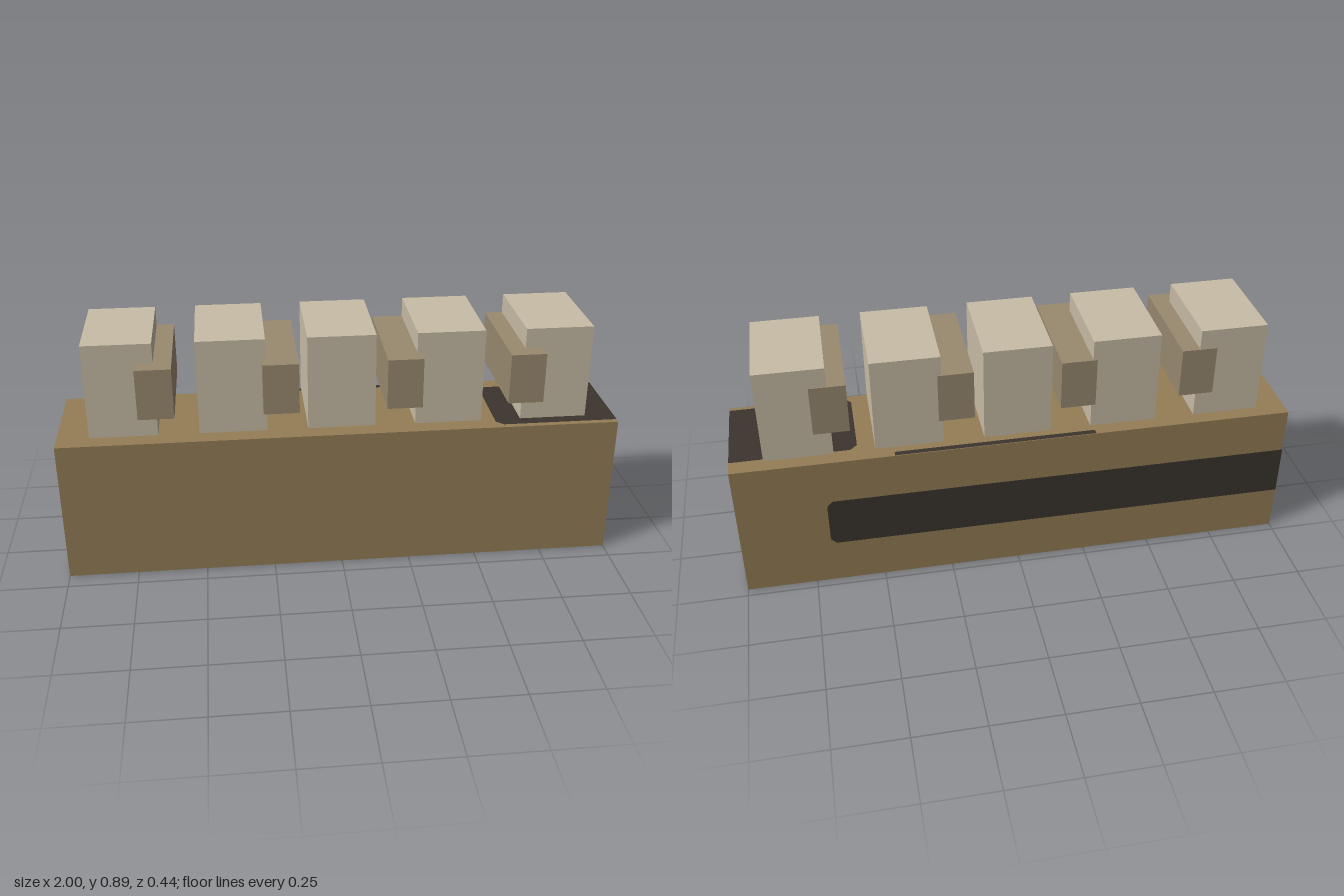
import * as THREE from 'three';

const material = (name, color) => {
  const m = new THREE.MeshStandardMaterial({ color });
  m.name = name;
  return m;
};

export function createModel() {
  const model = new THREE.Group();
  model.name = 'crenellatedWall';
  const earth = material('earthBrown', 0x957d56);
  const stone = material('paleStone', 0xc8bda6);
  const taupe = material('taupeStone', 0x9a8a70);
  const dark = material('darkStain', 0x3b342e);

  // Box given by its limits on each axis
  const block = (name, mat, x0, x1, y0, y1, z0, z1) => {
    const mesh = new THREE.Mesh(new THREE.BoxGeometry(x1 - x0, y1 - y0, z1 - z0), mat);
    mesh.position.set((x0 + x1) / 2, (y0 + y1) / 2, (z0 + z1) / 2);
    mesh.name = name;
    model.add(mesh);
  };

  const H = 0.525, BACK = -0.22, FRONT = 0.185;
  block('wallBase', earth, -1, 1, 0, H, BACK, FRONT);

  // Five merlons hovering just above the wall
  for (let i = -2; i <= 2; i++) {
    const x = i * 0.381;
    block('merlon', stone, x - 0.119, x + 0.119, 0.545, 0.888, -0.195, 0.16);
  }
  // Four cross beams between the merlons
  for (const i of [-1.5, -0.5, 0.5, 1.5]) {
    const x = i * 0.428;
    block('crossBeam', taupe, x - 0.062, x + 0.062, 0.635, 0.817, -0.199, 0.22);
  }

  // Flat stain starting square at an edge, with clipped corners at its far end;
  // 'inward' runs away from the edge, 'normal' points out of the wall
  const stain = (name, edgeMid, inward, normal, width, depth, clip) => {
    const w = width / 2;
    const shape = new THREE.Shape([
      [-w, 0], [w, 0], [w, depth - clip], [w - clip, depth], [clip - w, depth], [-w, depth - clip],
    ].map(([x, y]) => new THREE.Vector2(x, y)));
    const v = new THREE.Vector3(...inward), n = new THREE.Vector3(...normal);
    const u = new THREE.Vector3().crossVectors(v, n);
    const geometry = new THREE.ShapeGeometry(shape);
    geometry.applyMatrix4(new THREE.Matrix4().makeBasis(u, v, n));
    const mesh = new THREE.Mesh(geometry, dark);
    mesh.position.set(...edgeMid).addScaledVector(n, 0.002);
    mesh.name = name;
    model.add(mesh);
  };

  const X = [1, 0, 0], NX = [-1, 0, 0], Y = [0, 1, 0], NY = [0, -1, 0], Z = [0, 0, 1], NZ = [0, 0, -1];
  // Stains folded over the end edges
  stain('topStain', [1, H, 0.004], NX, Y, 0.325, 0.44, 0.025);
  stain('topStainFold', [1, H, 0.008], NY, X, 0.325, 0.051, 0.007);
  stain('bottomStain', [1, 0, -0.025], NX, NY, 0.32, 0.445, 0.03);
  stain('bottomStainFold', [1, 0, -0.028], Y, X, 0.32, 0.054, 0.007);
  // Long band along the back, folded round the end
  stain('backBand', [-1, 0.265, BACK], X, NZ, 0.188, 1.685, 0.02);
  stain('backBandFold', [-1, 0.265, BACK], Z, NX, 0.188, 0.04, 0.008);
  // Narrow strip along the top rear edge
  stain('rearEdgeStrip', [0.078, H, BACK], Z, Y, 0.715, 0.021, 0.004);

  return model;
}
